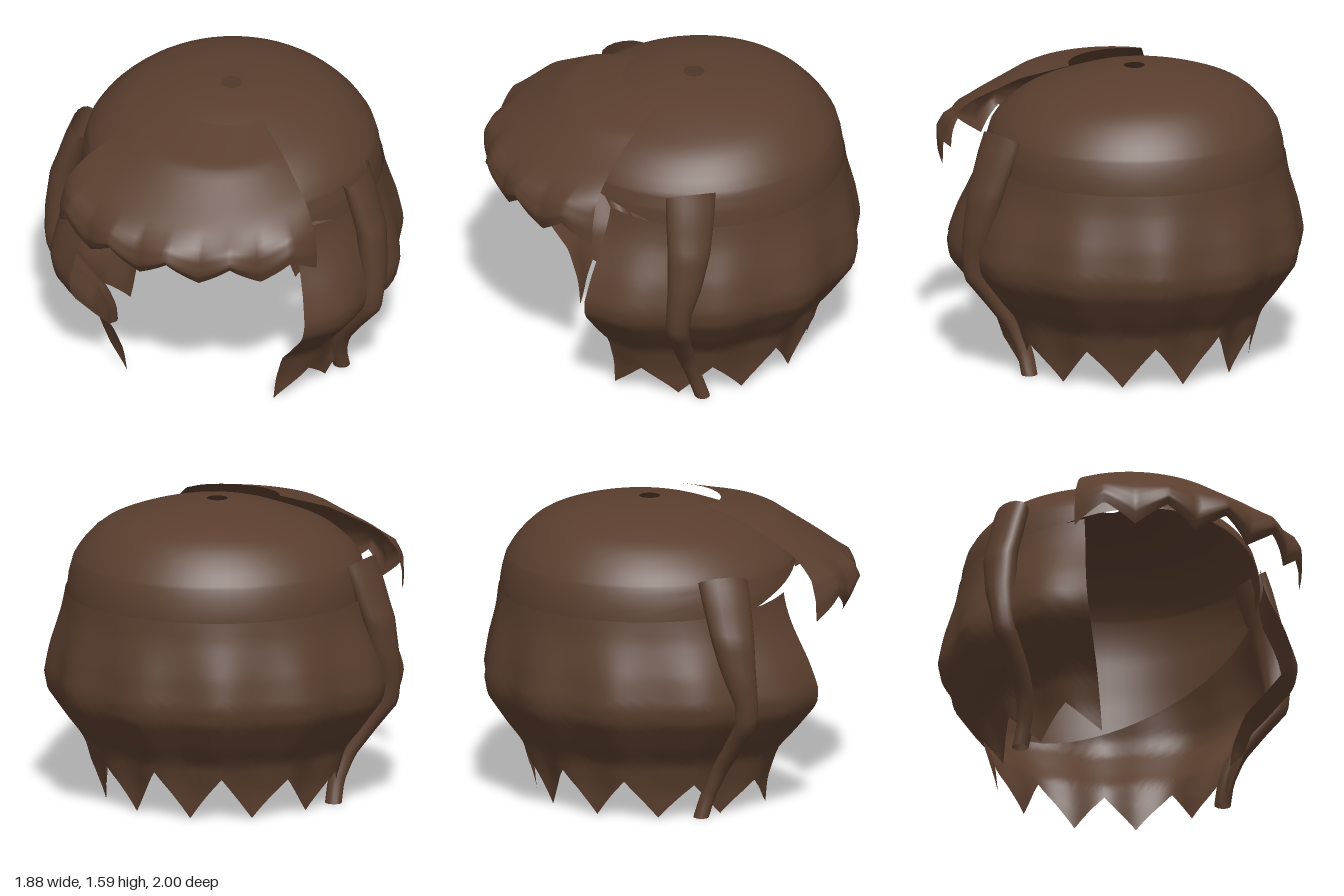
import * as THREE from 'three';
import { mergeVertices } from 'three/addons/utils/BufferGeometryUtils.js';

const CZ = -0.115; // z of the crown axis
const RAD = Math.PI / 180;

// Linear lookup in a list of [key, values...], keys falling or rising
function lookup(table, key, col = 1) {
  const dir = Math.sign(table[1][0] - table[0][0]);
  if ((key - table[0][0]) * dir <= 0) return table[0][col];
  for (let i = 1; i < table.length; i++) {
    const a = table[i - 1], b = table[i];
    if ((b[0] - key) * dir >= 0) return THREE.MathUtils.lerp(a[col], b[col], (key - a[0]) / (b[0] - a[0]));
  }
  return table[table.length - 1][col];
}

// Grid surface from a rule (u, v) -> [x, y, z]
function surface(rule, nu, nv) {
  const pos = [], idx = [];
  for (let j = 0; j <= nv; j++) for (let i = 0; i <= nu; i++) pos.push(...rule(i / nu, j / nv));
  for (let j = 0; j < nv; j++) for (let i = 0; i < nu; i++) {
    const a = j * (nu + 1) + i, b = a + 1, c = a + nu + 1, d = c + 1;
    idx.push(a, c, b, b, c, d);
  }
  let g = new THREE.BufferGeometry();
  g.setAttribute('position', new THREE.Float32BufferAttribute(pos, 3));
  g.setIndex(idx);
  g = mergeVertices(g, 1e-5);
  g.computeVertexNormals();
  return g;
}

// Triangle wave: 0 in a notch, 1 at a tip; t counts teeth from a notch
const tooth = (t) => 1 - Math.abs(2 * (t - Math.floor(t)) - 1);

export function createModel() {
  const group = new THREE.Group();
  const hair = new THREE.MeshStandardMaterial({ color: 0x5a3e2e, side: THREE.DoubleSide });
  hair.name = 'brownHair';
  const add = (name, geometry) => {
    const mesh = new THREE.Mesh(geometry, hair);
    mesh.name = name;
    group.add(mesh);
  };

  // Crown cap: dome with a small hole, fuller at the back, and a rim sloping down to the back
  const dome = new THREE.SplineCurve([[0.055, 1.595], [0.25, 1.575], [0.42, 1.53], [0.585, 1.46],
    [0.7, 1.36], [0.755, 1.28]].map((p) => new THREE.Vector2(...p)));
  const lower = [[1.28, 0.755], [1.2, 0.777], [1.1, 0.788], [0.85, 0.78], [0.54, 0.75]];
  add('crownCap', surface((u, v) => {
    const a = u * 2 * Math.PI;
    let r, y;
    if (v <= 0.6) {
      const p = dome.getPoint(v / 0.6);
      r = p.x;
      y = p.y - 0.022 * Math.cos(a) * Math.sin(Math.PI * v / 0.6) ** 2;
    } else {
      const rim = 0.54 + 0.73 * ((1 + Math.cos(a)) / 2) ** 0.75;
      y = THREE.MathUtils.lerp(1.28, rim, (v - 0.6) / 0.4);
      r = lookup(lower, y);
    }
    return [r * Math.sin(a), y, CZ + r * Math.cos(a)];
  }, 64, 30));

  // Curtain: bob round the back and sides, bulging, tucked in, with a jagged hem
  const bob = [[1.17, 0.783], [1.0, 0.807], [0.82, 0.847], [0.66, 0.87], [0.57, 0.853], [0.42, 0.75],
    [0.31, 0.665], [0.15, 0.62], [0, 0.605]];
  add('backCurtain', surface((u, v) => {
    const s = 2 * u - 1;                       // -1 .. 1 from one front edge to the other
    const a = s * (136 + 6 * v) * RAD;         // angle from the back
    const wave = s * 4.5;                      // nine scallops
    const notch = 0.26 - 0.1 * Math.abs(s);
    const hem = THREE.MathUtils.lerp(notch, 0.01, tooth(wave));
    const y = THREE.MathUtils.lerp(1.17 - 0.06 * (1 - s ** 6), hem, v);
    const swell = THREE.MathUtils.smoothstep(1.15 - y, 0, 0.5);
    const flare = 0.045 * s ** 6 * Math.max(0, 1 - Math.abs(y - 0.6) / 0.5);
    const r = lookup(bob, y) * (1 + s * s * (0.02 + 0.09 * swell) + flare)
      + 0.017 * swell * Math.cos(2 * Math.PI * wave);
    return [r * Math.sin(a), y, CZ - r * Math.cos(a)];
  }, 144, 30));

  // Fringe: fan over the forehead, turning down into five rounded scallops
  const middle = [[0, 0.375, 1.58], [0.3, 0.685, 1.505], [0.55, 0.915, 1.35], [0.75, 1.075, 1.24],
    [0.85, 1.1, 1.18], [1, 1.06, 1.14]];
  const edge = [[0, 0.34, 1.585], [0.3, 0.6, 1.51], [0.55, 0.84, 1.39], [0.75, 0.98, 1.29],
    [0.85, 1.015, 1.22], [1, 1.025, 1.15]];
  add('fringe', surface((u, v) => {
    const s = 2 * u - 1, a = s * 45 * RAD, k = Math.abs(s) ** 2.3;
    const drop = THREE.MathUtils.smoothstep(v, 0.6, 1);
    const lobe = Math.abs(Math.cos(2.5 * Math.PI * s));
    const r = THREE.MathUtils.lerp(lookup(middle, v), lookup(edge, v), k) + 0.035 * drop * (lobe - 0.55);
    const y = THREE.MathUtils.lerp(lookup(middle, v, 2), lookup(edge, v, 2), k)
      - 0.11 * drop * tooth(s * 2.5);
    return [r * Math.sin(a), y, CZ + r * Math.cos(a)];
  }, 80, 28));

  // Side locks: tapering open strands, rows of y, x, z, half width in x, half width in z
  const lock = [[1.3, 0.75, 0.075, 0.055, 0.133], [1.2, 0.785, 0.085, 0.065, 0.13], [1.0, 0.845, 0.105, 0.075, 0.115],
    [0.8, 0.865, 0.135, 0.075, 0.09], [0.66, 0.865, 0.165, 0.07, 0.068], [0.54, 0.85, 0.17, 0.07, 0.062],
    [0.4, 0.755, 0.13, 0.06, 0.055], [0.25, 0.665, 0.075, 0.05, 0.045], [0.12, 0.635, 0.025, 0.045, 0.04],
    [0.01, 0.64, -0.012, 0.045, 0.04]];
  for (const side of [1, -1]) {
    add(side > 0 ? 'leftSideLock' : 'rightSideLock', surface((u, v) => {
      const a = u * 2 * Math.PI * side;
      const y = THREE.MathUtils.lerp(1.3, 0.01, v);
      const [x, z, wx, wz] = [1, 2, 3, 4].map((c) => lookup(lock, y, c));
      const tip = 0.035 * Math.cos(a) * Math.max(0, 1 - v * 6);
      return [side * (x + wx * Math.cos(a)), y + tip, z + wz * Math.sin(a)];
    }, 16, 30));
  }
  return group;
}
